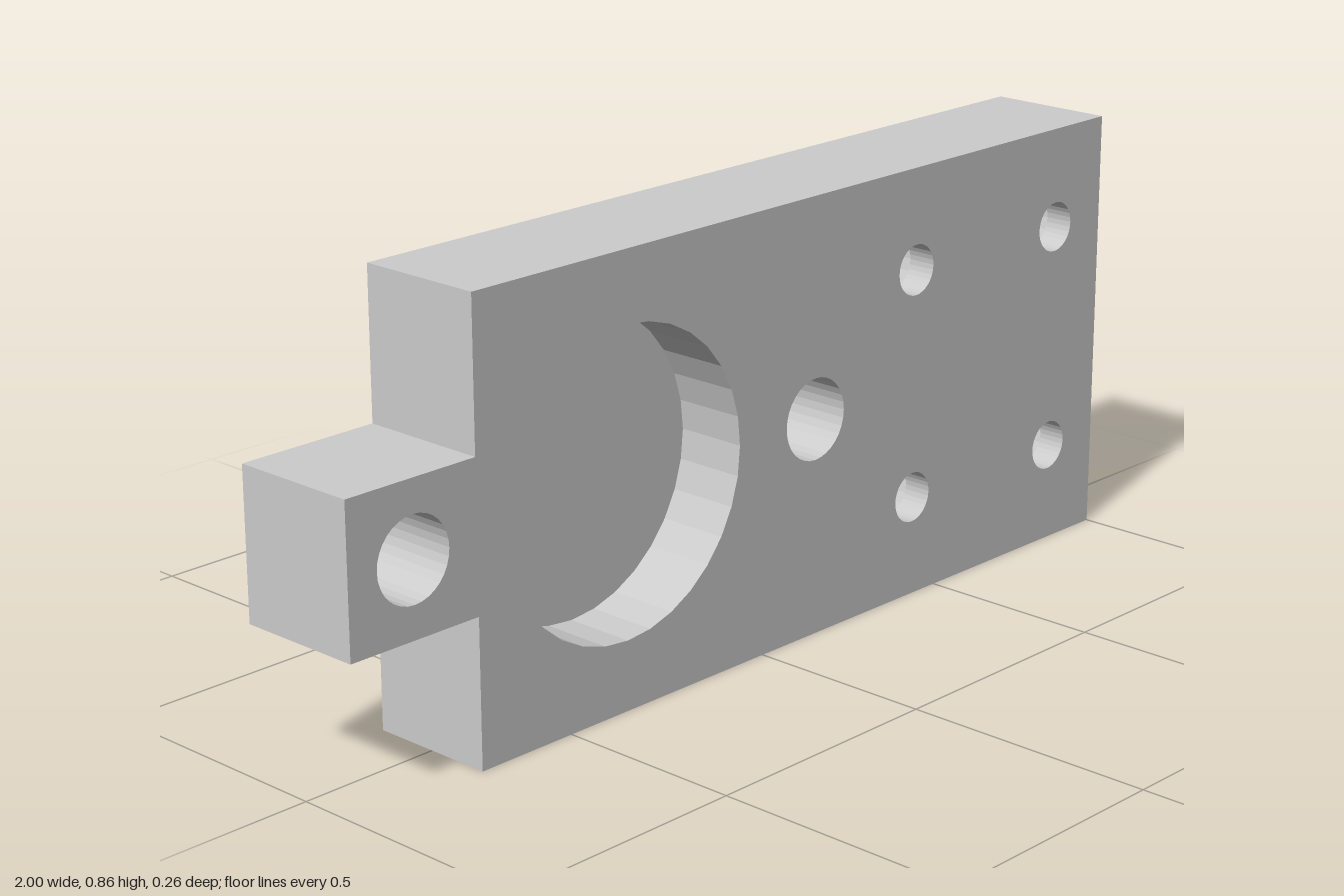
import * as THREE from 'three';

const U = 1 / 35;            // design unit: the plate is 70 units long
const FRONT = 4.5 * U, BACK = -4.5 * U, MID = 15 * U;
const SEGMENTS = 32;

const material = new THREE.MeshStandardMaterial({ color: 0xcccccc, flatShading: true });

// Plate outline with a square tab at the left end of the picture plane, counter-clockwise
const outline = [
  [-25, 0], [35, 0], [35, 30], [-25, 30], [-25, 20], [-35, 20], [-35, 10], [-25, 10],
].map(([x, y]) => new THREE.Vector2(x * U, y * U));

// Hole profiles as [radius, z], always running from front to back
const through = [[0.08, FRONT], [0.08, BACK]];
const counterbored = [[0.05, FRONT], [0.05, 2.5 * U], [0.12, 2.5 * U], [0.12, BACK]];
const frontPocket = [[0.293, FRONT], [0.293, -0.5 * U], [0, -0.5 * U]];
const backPocket = [[0, -1.5 * U], [0.32, -1.5 * U], [0.32, BACK]];

const holes = [
  { name: 'tabHole', x: -30 * U, y: MID, profile: through },
  { name: 'centreHole', x: 5 * U, y: MID, profile: through },
  { name: 'frontPocket', x: -12.5 * U, y: MID, profile: frontPocket },
  { name: 'backPocket', x: -12.5 * U, y: MID, profile: backPocket },
];
for (const x of [15, 30]) {
  for (const y of [7, 23]) {
    holes.push({ name: 'counterboredHole', x: x * U, y: y * U, profile: counterbored });
  }
}

// Flat face of the plate, cut by every hole that opens at this depth
function faceGeometry(z) {
  const shape = new THREE.Shape(outline);
  for (const { x, y, profile } of holes) {
    const mouth = profile.find(p => p[1] === z);
    if (mouth) shape.holes.push(new THREE.Path().absarc(x, y, mouth[0], 0, Math.PI * 2, true));
  }
  const geometry = new THREE.ShapeGeometry(shape, SEGMENTS / 2);
  if (z < 0) geometry.rotateY(Math.PI).scale(1, 1, 1);
  return geometry;
}

// Outer edge of the plate, one quad per outline side
function edgeGeometry() {
  const positions = [];
  outline.forEach((a, i) => {
    const b = outline[(i + 1) % outline.length];
    positions.push(a.x, a.y, BACK, b.x, b.y, BACK, b.x, b.y, FRONT);
    positions.push(a.x, a.y, BACK, b.x, b.y, FRONT, a.x, a.y, FRONT);
  });
  const geometry = new THREE.BufferGeometry();
  geometry.setAttribute('position', new THREE.Float32BufferAttribute(positions, 3));
  geometry.computeVertexNormals();
  return geometry;
}

// Reverse the winding so a face looks towards -z
function flip(geometry) {
  const index = geometry.index;
  for (let i = 0; i < index.count; i += 3) {
    const a = index.getX(i);
    index.setX(i, index.getX(i + 2));
    index.setX(i + 2, a);
  }
  geometry.computeVertexNormals();
  return geometry;
}

export function createModel() {
  const group = new THREE.Group();
  group.name = 'mountingPlate';
  const add = (name, geometry, x = 0, y = 0, z = 0) => {
    const mesh = new THREE.Mesh(geometry, material);
    mesh.name = name;
    mesh.position.set(x, y, z);
    group.add(mesh);
  };

  // Plate skin
  add('frontFace', faceGeometry(FRONT), 0, 0, FRONT);
  const back = faceGeometry(BACK);
  back.rotateY(-Math.PI);
  add('backFace', flip(back), 0, 0, BACK);
  add('outerEdge', edgeGeometry());

  // Walls, steps and floors of holes and pockets
  for (const { name, x, y, profile } of holes) {
    const points = profile.map(([r, z]) => new THREE.Vector2(r, z));
    add(name, new THREE.LatheGeometry(points, SEGMENTS).rotateX(Math.PI / 2), x, y);
  }
  return group;
}
